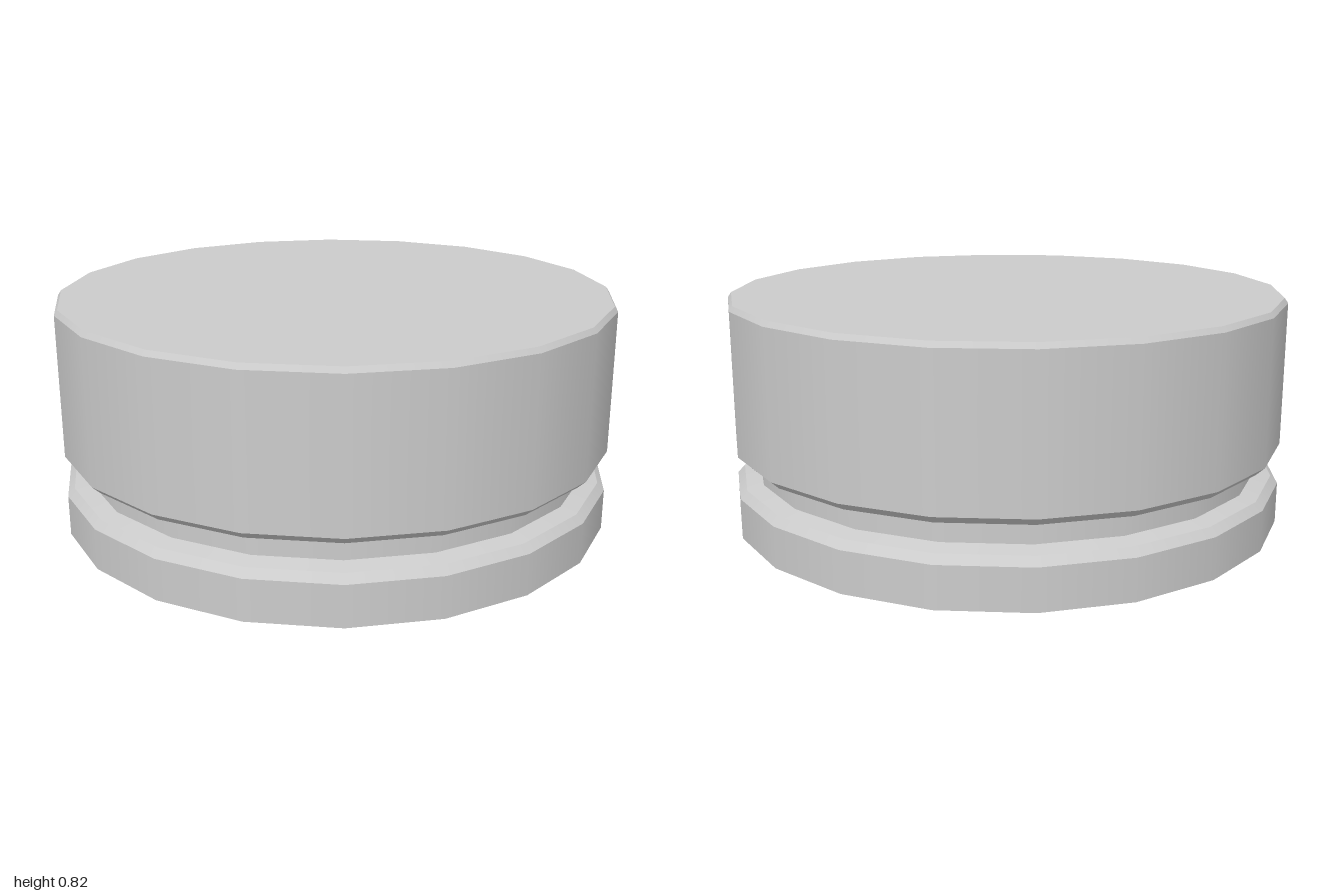
import * as THREE from 'three';

const SIDES = 20;

export function createModel() {
  const model = new THREE.Group();
  model.name = 'cap';
  const material = new THREE.MeshStandardMaterial({ color: 0xcccccc, side: THREE.DoubleSide });

  // One lathe band per profile segment: smooth around, sharp between bands.
  const shell = (name, profile) => {
    const part = new THREE.Group();
    part.name = name;
    for (let i = 0; i < profile.length - 1; i++) {
      const points = [profile[i], profile[i + 1]].map(([r, y]) => new THREE.Vector2(r, y));
      const band = new THREE.Mesh(new THREE.LatheGeometry(points, SIDES), material);
      band.name = `${name}Band${i + 1}`;
      part.add(band);
    }
    model.add(part);
  };

  // Lower ring with its chamfered shoulder, open at the bottom
  shell('lowerRing', [[1, 0], [1, 0.145], [0.975, 0.172], [0.917, 0.185]]);
  // Recessed neck between ring and body
  shell('groove', [[0.917, 0.185], [0.917, 0.262]]);
  // Main wall with chamfers below and above
  shell('body', [[0.917, 0.262], [0.972, 0.268], [1, 0.295], [1, 0.8], [0.988, 0.818]]);

  // Flat closed top
  const top = new THREE.Mesh(new THREE.CircleGeometry(0.988, SIDES), material);
  top.name = 'topDisc';
  top.rotation.x = -Math.PI / 2;
  top.position.y = 0.818;
  model.add(top);

  return model;
}
